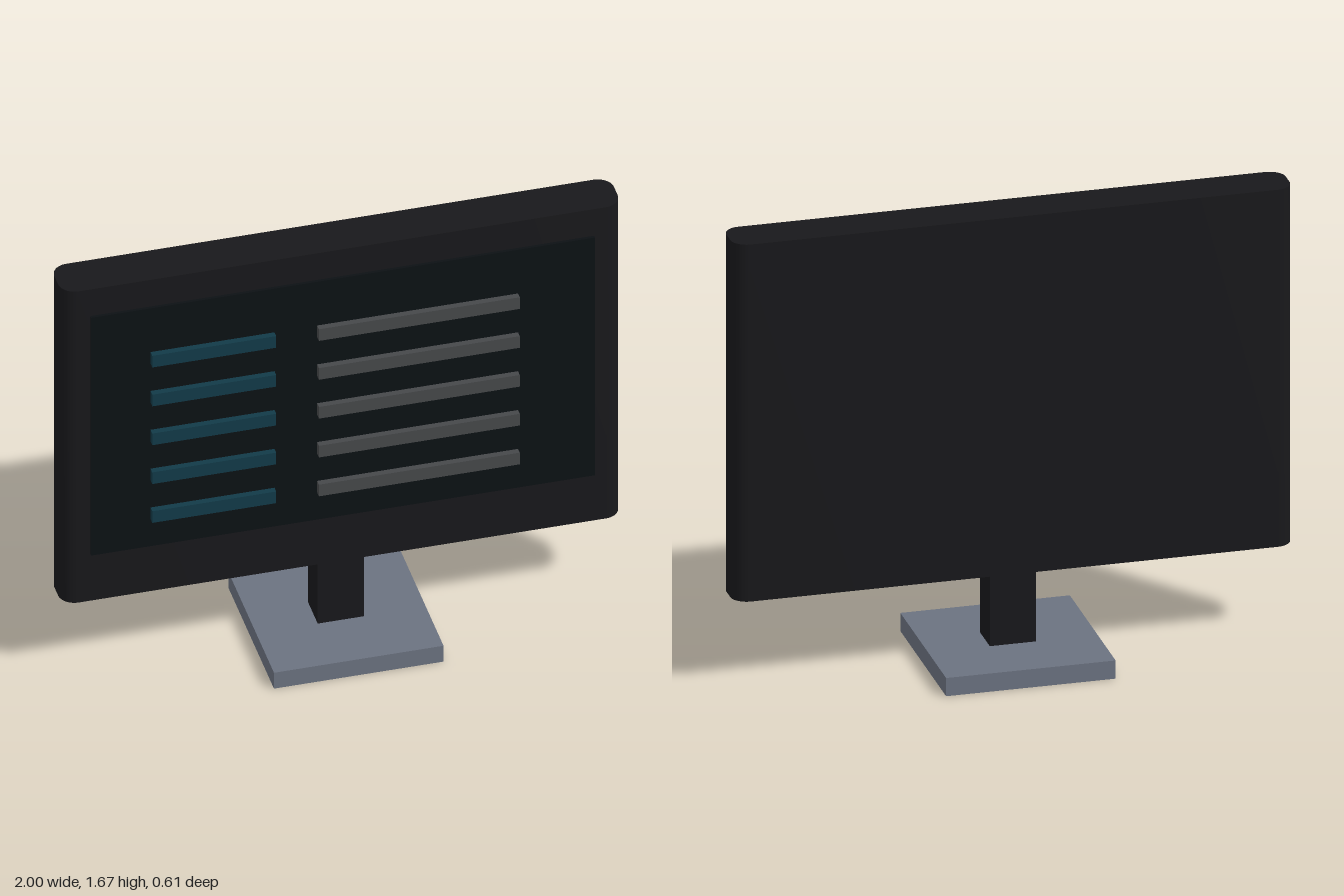
import * as THREE from 'three';
import { toCreasedNormals } from 'three/addons/utils/BufferGeometryUtils.js';

const mat = (color) => new THREE.MeshStandardMaterial({ color });

export function createModel() {
  const group = new THREE.Group();
  group.name = 'monitor';
  const dark = mat(0x18181b), screenMat = mat(0x0c1114), slate = mat(0x6b7280);
  const teal = mat(0x123a48), grey = mat(0x46484a);

  const add = (name, geometry, material, x, y, z) => {
    const mesh = new THREE.Mesh(geometry, material);
    mesh.name = name;
    mesh.position.set(x, y, z);
    group.add(mesh);
  };
  const box = (name, w, h, d, material, x, y, z) =>
    add(name, new THREE.BoxGeometry(w, h, d), material, x, y, z);

  // Casing: rounded rectangle in plan, extruded upwards
  const w = 1, d = 0.083, r = 0.058, bottom = 0.335, height = 1.335;
  const plan = new THREE.Shape();
  plan.absarc(w - r, d - r, r, 0, Math.PI / 2);
  plan.absarc(-w + r, d - r, r, Math.PI / 2, Math.PI);
  plan.absarc(-w + r, -d + r, r, Math.PI, Math.PI * 1.5);
  plan.absarc(w - r, -d + r, r, Math.PI * 1.5, Math.PI * 2);
  const casing = new THREE.ExtrudeGeometry(plan, { depth: height, bevelEnabled: false, curveSegments: 8 });
  casing.rotateX(-Math.PI / 2);
  add('casing', toCreasedNormals(casing, 0.6), dark, 0, bottom, 0);

  // Screen panel, standing slightly proud of the casing
  box('screen', 1.8, 1.02, 0.03, screenMat, 0, 1.046, 0.079);

  // Two columns of bars floating just in front of the screen
  for (let i = 0; i < 5; i++) {
    const y = 1.348 - i * 0.1667;
    box(`shortBar${i + 1}`, 0.443, 0.05, 0.023, teal, -0.468, y, 0.111);
    box(`longBar${i + 1}`, 0.718, 0.05, 0.023, grey, 0.265, y, 0.111);
  }

  // Stand
  box('neck', 0.166, 0.267, 0.132, dark, 0, 0.2015, 0);
  box('base', 0.606, 0.068, 0.606, slate, 0, 0.034, 0);

  return group;
}
